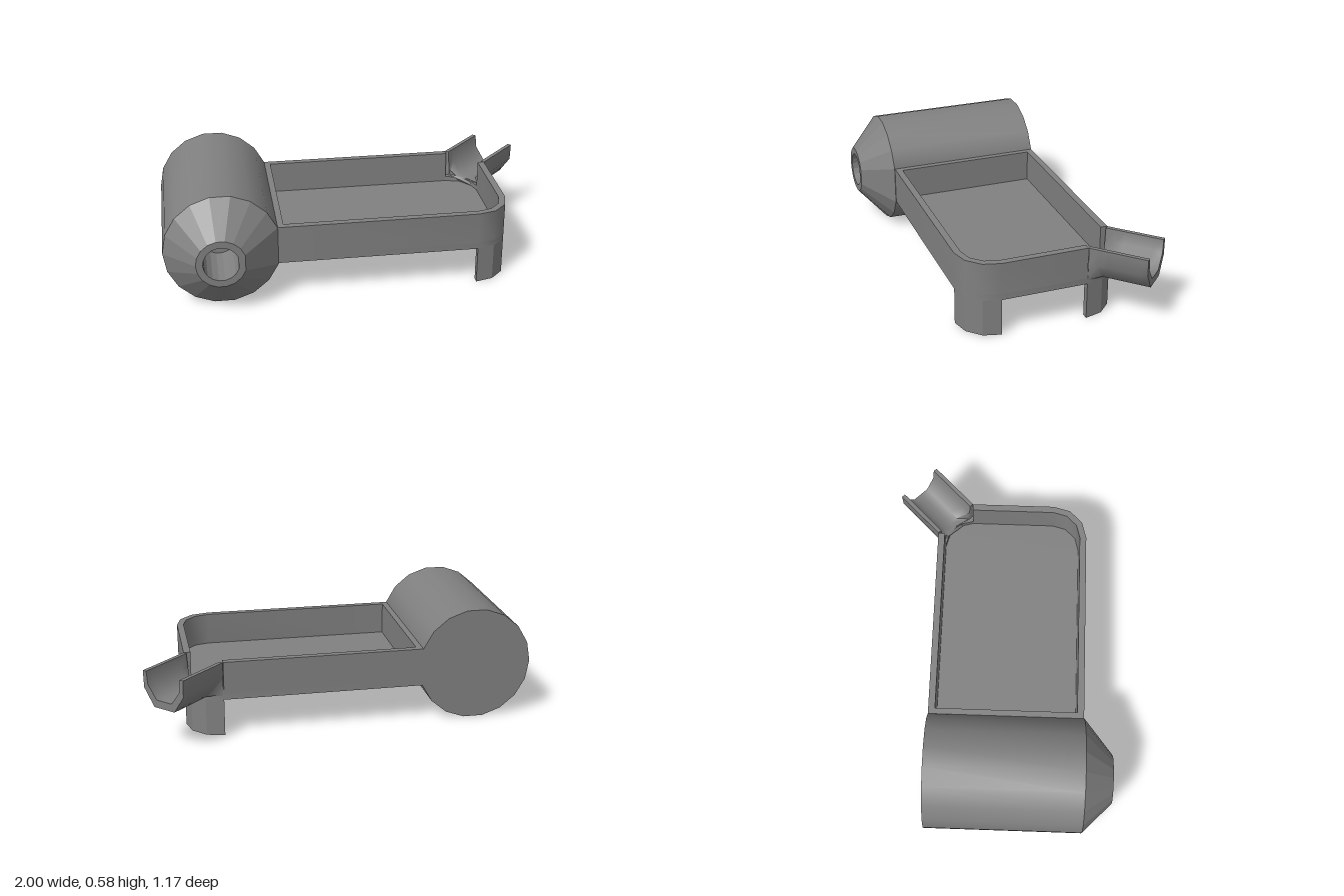
import * as THREE from 'three';
import { toCreasedNormals } from 'three/addons/utils/BufferGeometryUtils.js';

const material = new THREE.MeshStandardMaterial({ color: 0x808080 });
const V = (x, y) => new THREE.Vector2(x, y);

function addMesh(parent, name, geometry, crease = 0.6) {
  const mesh = new THREE.Mesh(toCreasedNormals(geometry, crease), material);
  mesh.name = name;
  parent.add(mesh);
  return mesh;
}

// Three-sided quarter arc around a tray corner
function arc(cx, cy, r, start) {
  return [0, 1, 2, 3].map((i) => {
    const a = start + (i * Math.PI) / 6;
    return V(cx + r * Math.cos(a), cy + r * Math.sin(a));
  });
}
const frontArc = (r) => arc(0.601, -0.253, r, -Math.PI / 2);
const backArc = (r) => arc(0.601, 0.192, r, 0);

// Plan outline (x, -z) raised from y0 to y1
function slab(points, y0, y1) {
  const geometry = new THREE.ExtrudeGeometry(new THREE.Shape(points), {
    depth: y1 - y0, bevelEnabled: false,
  });
  return geometry.rotateX(-Math.PI / 2).translate(0, y0, 0);
}
const strip = (outer, inner) => [...outer, ...inner.reverse()];

// Surface through rings of [centre x, radius, z];
// one corner is left out for the flat against the tray
function ringGeometry(rings) {
  const y = 0.292, n = 17;
  const point = ([cx, r, z], j) => {
    const a = ((j % n) + 1) * (Math.PI / 9);
    return [cx + r * Math.cos(a), y + r * Math.sin(a), z];
  };
  const positions = [];
  for (let i = 0; i < rings.length - 1; i++) {
    for (let j = 0; j < n; j++) {
      const a = point(rings[i], j), b = point(rings[i], j + 1);
      const c = point(rings[i + 1], j + 1), d = point(rings[i + 1], j);
      if (rings[i][1] > 0) positions.push(...a, ...b, ...(rings[i + 1][1] > 0 ? c : d));
      if (rings[i + 1][1] > 0) positions.push(...a, ...c, ...d);
    }
  }
  const geometry = new THREE.BufferGeometry();
  geometry.setAttribute('position', new THREE.Float32BufferAttribute(positions, 3));
  return geometry;
}

// Open channel: square where it leaves the tray, tapering to a narrow bottom
function spoutGeometry() {
  const both = (pts) => [
    ...pts.map(([s, y]) => V(s, y)),
    ...pts.slice(0, -1).map(([s, y]) => V(-s, y)).reverse(),
  ];
  const outer = both([[0.128, 0.393], [0.125, 0.305], [0.064, 0.215], [0, 0.215]]);
  const inner = both([[0.107, 0.393], [0.1, 0.325], [0.047, 0.255], [0, 0.255]]);
  const geometry = new THREE.ExtrudeGeometry(new THREE.Shape(strip(outer, inner)), {
    depth: 0.3, steps: 6, bevelEnabled: false,
  });
  const p = geometry.attributes.position;
  for (let i = 0; i < p.count; i++) {
    if (p.getZ(i) > 0.001) continue;
    if (Math.abs(p.getX(i)) < 0.001) p.setZ(i, 0.018);
    else if (p.getY(i) < 0.3) p.setX(i, p.getX(i) * 2);
  }
  return geometry;
}

export function createModel() {
  const model = new THREE.Group();
  model.name = 'trayWithSpout';

  // Smooth barrel with a faceted, bored nose
  const body = new THREE.Group();
  body.name = 'roundBody';
  model.add(body);
  const shoulder = [-0.704, 0.2955, 0.436];
  addMesh(body, 'barrel', ringGeometry([
    [-0.704, 0, -0.373], [-0.704, 0.2955, -0.373], shoulder,
  ]));
  addMesh(body, 'nose', ringGeometry([
    shoulder, [-0.717, 0.125, 0.586], [-0.717, 0.09, 0.586], [-0.717, 0.09, 0.3], [-0.717, 0, 0.3],
  ]), 0.1);

  // Tray: floor, rim open at the back corner, low sill in the opening
  const tray = new THREE.Group();
  tray.name = 'tray';
  model.add(tray);
  const floor = [V(-0.43, 0.373), V(-0.43, -0.434), ...frontArc(0.181), ...backArc(0.181)];
  addMesh(tray, 'trayFloor', slab(floor, 0.194, 0.225));
  const outer = [V(0.601, 0.373), V(-0.43, 0.373), V(-0.43, -0.434), ...frontArc(0.181), V(0.782, 0.192)];
  const inner = [V(0.601, 0.338), V(-0.395, 0.338), V(-0.395, -0.399), ...frontArc(0.146), V(0.747, 0.192)];
  addMesh(tray, 'trayRim', slab(strip(outer, inner), 0.225, 0.393));
  addMesh(tray, 'spoutSill', slab(strip(backArc(0.181), backArc(0.146)), 0.225, 0.25));

  // Curved legs under the two rounded corners
  addMesh(model, 'frontLeg', slab(strip(frontArc(0.181), frontArc(0.146)), 0, 0.194), 0.3);
  addMesh(model, 'backLeg', slab(strip(backArc(0.181), backArc(0.146)), 0, 0.194), 0.3);

  // Spout leaving the back corner diagonally
  const spout = addMesh(model, 'spout', spoutGeometry(), 1.1);
  spout.rotation.y = (3 * Math.PI) / 4;
  spout.position.set(0.693, 0, -0.283);

  return model;
}
